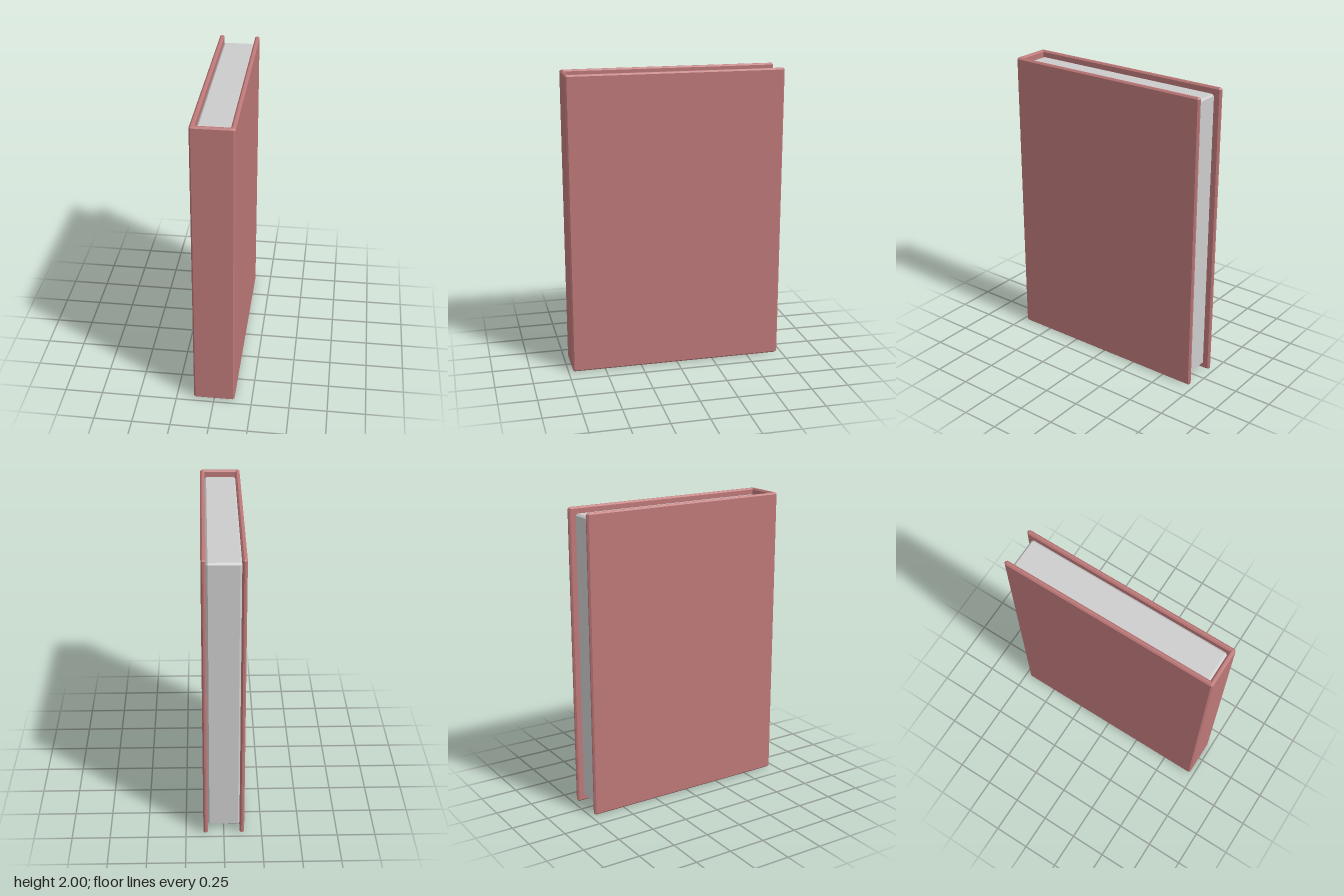
import * as THREE from 'three';

// Closed shape from [x, y] pairs.
const outline = (points) => new THREE.Shape(points.map(([x, y]) => new THREE.Vector2(x, y)));

// Extrudes a plan outline upward from y0 to y1 with single-step chamfers.
// Plan coordinates are (x, -z); the outline is the final footprint.
function chamferedPrism(shape, y0, y1, bevel) {
  const geometry = new THREE.ExtrudeGeometry(shape, {
    depth: y1 - y0 - 2 * bevel,
    bevelEnabled: true,
    bevelThickness: bevel,
    bevelSize: bevel,
    bevelOffset: -bevel,
    bevelSegments: 1,
  });
  geometry.rotateX(-Math.PI / 2);
  geometry.translate(0, y0 + bevel, 0);
  return geometry;
}

export function createModel() {
  const book = new THREE.Group();
  book.name = 'book';

  const coverRed = new THREE.MeshStandardMaterial({ color: 0xbd7878 });
  coverRed.name = 'coverRed';
  const pageGrey = new THREE.MeshStandardMaterial({ color: 0xcccccc });
  pageGrey.name = 'pageGrey';

  // Hard cover: U-shaped plan, spine at the front, open at the back
  const X = 0.135, Z = 0.72, board = 0.03, c = 0.01;
  const inner = X - board, spine = -(Z - board);
  const coverPlan = outline([
    [-X + c, -Z], [X - c, -Z], [X, -Z + c],
    [X, Z - c], [X - c, Z], [inner + c, Z], [inner, Z - c],
    [inner, spine], [-inner, spine],
    [-inner, Z - c], [-inner - c, Z], [-X + c, Z], [-X, Z - c],
    [-X, -Z + c],
  ]);
  const cover = new THREE.Mesh(chamferedPrism(coverPlan, 0, 2, c), coverRed);
  cover.name = 'cover';

  // Page block: chamfered box recessed inside the cover
  const px = 0.106, back = 0.68, front = -0.685, b = 0.012;
  const pagePlan = outline([
    [-px + b, front], [px - b, front], [px, front + b],
    [px, back - b], [px - b, back], [-px + b, back],
    [-px, back - b], [-px, front + b],
  ]);
  const pages = new THREE.Mesh(chamferedPrism(pagePlan, 0.04, 1.96, b), pageGrey);
  pages.name = 'pages';

  book.add(cover, pages);
  return book;
}
